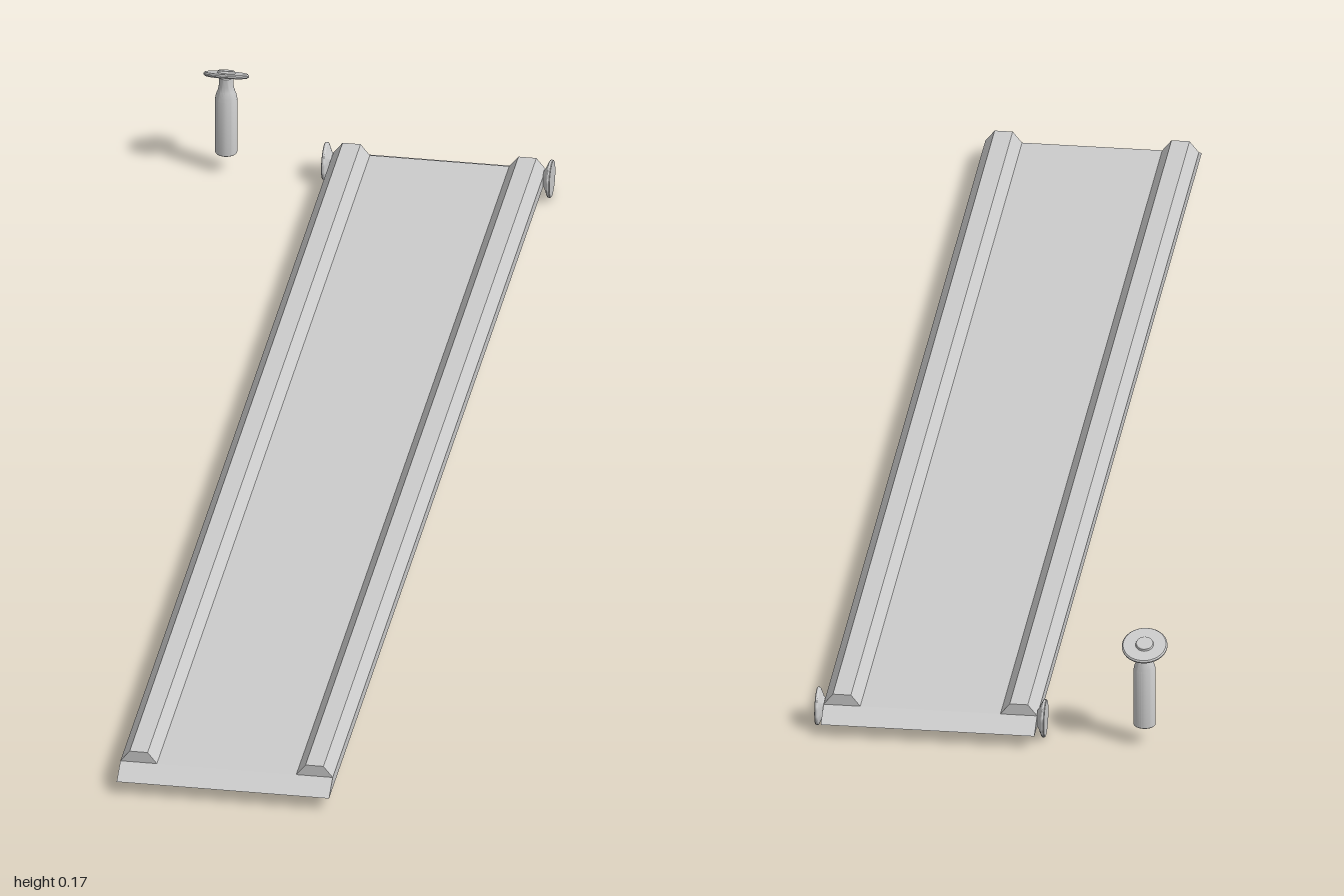
import * as THREE from 'three';
import { toCreasedNormals } from 'three/addons/utils/BufferGeometryUtils.js';

const grey = new THREE.MeshStandardMaterial({ color: 0xcccccc });
const CX = 0.09; // centre line of the ramp

function mesh(name, geometry) {
  const m = new THREE.Mesh(geometry, grey);
  m.name = name;
  return m;
}

// Solid of revolution about y, with crisp edges where the profile turns sharply
function turned(name, profile) {
  const points = profile.map(([r, y]) => new THREE.Vector2(r, y));
  return mesh(name, toCreasedNormals(new THREE.LatheGeometry(points, 32), 0.45));
}

// Polygon in the x-y plane, extruded along z and centred
function prism(name, points, length) {
  const shape = new THREE.Shape(points.map(([x, y]) => new THREE.Vector2(x, y)));
  const geometry = new THREE.ExtrudeGeometry(shape, { depth: length, bevelEnabled: false });
  geometry.translate(0, 0, -length / 2);
  return mesh(name, geometry);
}

export function createModel() {
  const model = new THREE.Group();
  model.name = 'rampAndPin';

  // Flat deck with bevelled ends: side profile extruded across the width
  const deck = prism('deck', [[-1, 0.02], [1, 0.02], [0.966, 0.0375], [-0.966, 0.0375]], 0.32);
  deck.rotation.y = Math.PI / 2;
  deck.position.x = CX;
  model.add(deck);

  for (const side of [-1, 1]) {
    const prefix = side > 0 ? 'left' : 'right';

    // Trapezoid guide rail along the edge
    const rail = prism(prefix + 'Rail', [[-0.0275, 0.0375], [0.0275, 0.0375], [0.0135, 0.055], [-0.0135, 0.055]], 1.932);
    rail.position.x = CX + side * 0.1325;
    model.add(rail);

    // Flared wheel, narrow towards the deck
    const wheel = turned(prefix + 'Wheel', [[0, 0], [0.013, 0], [0.0155, 0.002], [0.0275, 0.0075], [0.0285, 0.009], [0.0285, 0.0115], [0.0275, 0.0125], [0, 0.0125]]);
    wheel.rotation.z = -side * Math.PI / 2;
    wheel.position.set(CX + side * 0.1595, 0.0285, -0.954);
    model.add(wheel);
  }

  // Freestanding pin: handle with narrowed neck and a tilted disc head
  const pin = new THREE.Group();
  pin.name = 'pin';
  pin.position.set(-0.23, 0.029, -0.957);
  pin.add(turned('handle', [[0, 0], [0.0155, 0], [0.0165, 0.001], [0.0165, 0.091], [0.0155, 0.097], [0.0125, 0.105], [0.011, 0.113], [0.0105, 0.127], [0, 0.129]]));

  const head = new THREE.Group();
  head.name = 'head';
  head.position.y = 0.13;
  head.rotation.x = -0.41;
  head.add(turned('disc', [[0, -0.003], [0.032, -0.003], [0.034, -0.001], [0.034, 0.001], [0.032, 0.003], [0, 0.003]]));
  head.add(turned('hub', [[0.014, 0.002], [0.0125, 0.006], [0.011, 0.007], [0, 0.007]]));
  pin.add(head);
  model.add(pin);

  return model;
}
